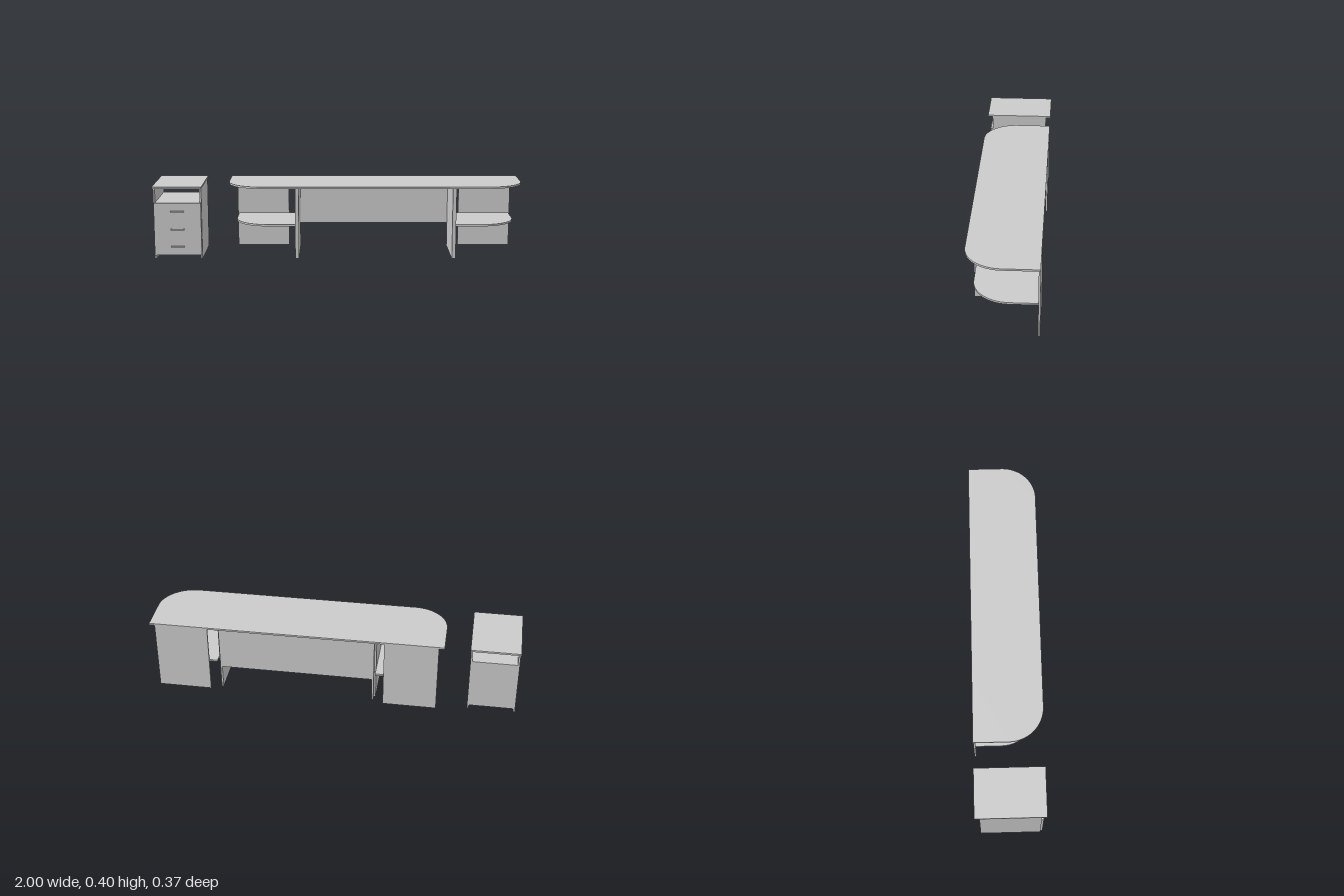
import * as THREE from 'three';

const T = 0.01; // board thickness

export function createModel() {
  const group = new THREE.Group();
  const mat = new THREE.MeshStandardMaterial({ color: 0xcccccc });

  function add(parent, name, geo) {
    const mesh = new THREE.Mesh(geo, mat);
    mesh.name = name;
    parent.add(mesh);
    return mesh;
  }

  // Box given by its minimum and maximum on each axis
  function board(parent, name, x0, x1, y0, y1, z0, z1) {
    const mesh = add(parent, name, new THREE.BoxGeometry(x1 - x0, y1 - y0, z1 - z0));
    mesh.position.set((x0 + x1) / 2, (y0 + y1) / 2, (z0 + z1) / 2);
    return mesh;
  }

  // Horizontal board whose outer front corner is rounded; side is +1 or -1
  function roundedBoard(parent, name, side, x0, x1, y, z0, z1, r) {
    const s = new THREE.Shape();
    s.moveTo(side * x0, -z0);
    s.lineTo(side * x1, -z0);
    s.lineTo(side * x1, -z1 + r);
    if (side > 0) s.absarc(x1 - r, -z1 + r, r, 0, -Math.PI / 2, true);
    else s.absarc(-x1 + r, -z1 + r, r, Math.PI, Math.PI * 1.5, false);
    s.lineTo(side * x0, -z1);
    s.closePath();
    const geo = new THREE.ExtrudeGeometry(s, { depth: T, bevelEnabled: false, curveSegments: 24 });
    geo.rotateX(-Math.PI / 2);
    add(parent, name, geo).position.y = y;
  }

  // Desk, symmetric about its own middle
  const desk = new THREE.Group();
  desk.name = 'desk';
  desk.position.x = 0.2;
  group.add(desk);
  const seam = 0.425;
  board(desk, 'deskTop', -seam, seam, 0.39, 0.4, -0.187, 0.187);
  board(desk, 'modestyPanel', -seam + T, seam - T, 0.135, 0.39, -0.16, -0.15);

  for (const side of [1, -1]) {
    const span = (a, b) => (side > 0 ? [a, b] : [-b, -a]);
    board(desk, 'deskLeg', ...span(seam - T, seam), 0, 0.39, -0.16, 0.16);

    // End unit with rounded top, shelf and standing panels
    const unit = new THREE.Group();
    unit.name = side > 0 ? 'leftEndUnit' : 'rightEndUnit';
    desk.add(unit);
    roundedBoard(unit, 'endTop', side, seam, 0.8, 0.39, -0.187, 0.187, 0.187);
    roundedBoard(unit, 'endShelf', side, seam + T, 0.763, 0.177, -0.177, 0.15, 0.187);
    board(unit, 'endLeg', ...span(seam, seam + T), 0, 0.39, -0.133, 0.16);
    board(unit, 'endBackPanel', ...span(0.48, 0.77), 0, 0.39, -0.187, -0.177);
  }

  // Drawer cabinet
  const cabinet = new THREE.Group();
  cabinet.name = 'drawerCabinet';
  cabinet.position.x = -0.8675;
  group.add(cabinet);
  const w = 0.1295;
  board(cabinet, 'cabinetTop', -0.1325, 0.1325, 0.39, 0.4, -0.187, 0.187);
  board(cabinet, 'cabinetSide', -w, -w + T, 0, 0.39, -0.16, 0.16);
  board(cabinet, 'cabinetSide', w - T, w, 0, 0.39, -0.16, 0.16);
  board(cabinet, 'cabinetBottom', -w + T, w - T, 0.022, 0.032, -0.15, 0.16);
  board(cabinet, 'cabinetShelf', -w + T, w - T, 0.3, 0.31, -0.15, 0.16);
  board(cabinet, 'cabinetBack', -w + T, w - T, 0.022, 0.31, -0.16, -0.15);

  // Drawer fronts with bar handles
  for (let i = 0; i < 3; i++) {
    const y = 0.022 + i * 0.0965;
    const h = y + 0.048;
    board(cabinet, 'drawerFront', -0.127, 0.127, y, y + 0.095, 0.16, 0.171);
    board(cabinet, 'handleBar', -0.037, 0.037, h - 0.0035, h + 0.0035, 0.177, 0.182);
    for (const x of [-0.034, 0.034]) {
      board(cabinet, 'handlePost', x - 0.003, x + 0.003, h - 0.0025, h + 0.0025, 0.171, 0.177);
    }
  }

  return group;
}
